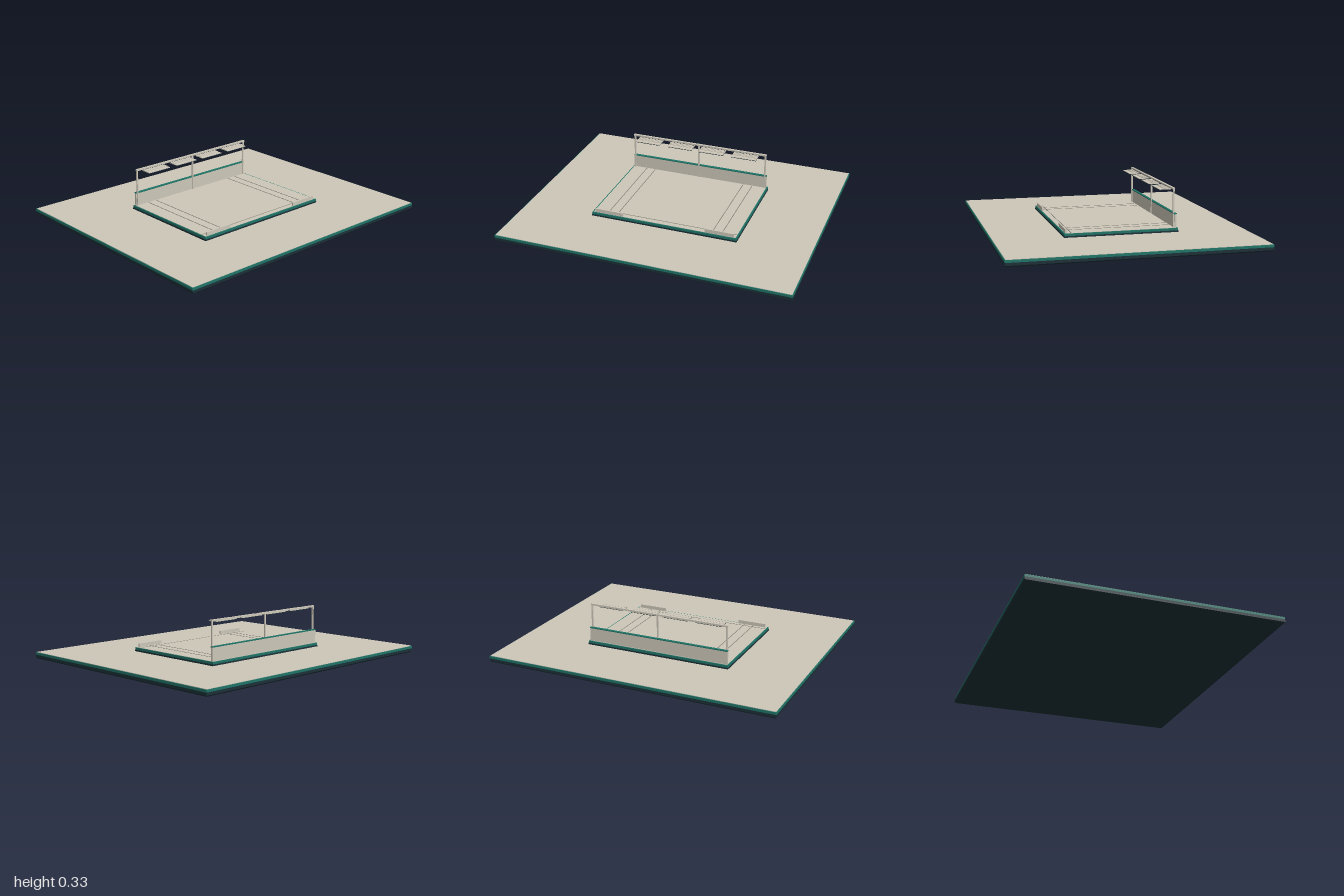
import * as THREE from 'three';

const mat = (name, color) => {
  const m = new THREE.MeshStandardMaterial({ color });
  m.name = name;
  return m;
};

export function createModel() {
  const root = new THREE.Group();
  root.name = 'openAirStage';
  const cream = mat('warm cream', 0xcdc7b9);
  const teal = mat('deep teal', 0x1f7467);
  const dark = mat('dark navy', 0x1b2f36);
  const grey = mat('seam grey', 0x8b867b);

  // Box given by its low and high limits on each axis
  const box = (name, m, [x0, x1], [y0, y1], [z0, z1], parent = root) => {
    const mesh = new THREE.Mesh(new THREE.BoxGeometry(x1 - x0, y1 - y0, z1 - z0), m);
    mesh.position.set((x0 + x1) / 2, (y0 + y1) / 2, (z0 + z1) / 2);
    mesh.name = name;
    parent.add(mesh);
    return mesh;
  };

  // Flat slab with chamfered upper and lower rims
  const slab = (name, m, hx, hz, y0, y1, bevel) => {
    const a = hx - bevel, b = hz - bevel;
    const shape = new THREE.Shape([
      new THREE.Vector2(-a, -b), new THREE.Vector2(a, -b),
      new THREE.Vector2(a, b), new THREE.Vector2(-a, b),
    ]);
    const geo = new THREE.ExtrudeGeometry(shape, {
      depth: y1 - y0 - 2 * bevel, bevelEnabled: true,
      bevelSize: bevel, bevelThickness: bevel, bevelSegments: 1,
    });
    geo.rotateX(-Math.PI / 2);
    geo.translate(0, y0 + bevel, 0);
    const mesh = new THREE.Mesh(geo, m);
    mesh.name = name;
    root.add(mesh);
  };

  // Ground plinth: dark body, teal band, cream paving
  slab('plinthBody', dark, 1, 0.83, 0, 0.034, 0.008);
  box('plinthBand', teal, [-1, 1], [0.026, 0.042], [-0.83, 0.83]);
  box('plinthPaving', cream, [-0.995, 0.995], [0.042, 0.045], [-0.825, 0.825]);

  // Raised deck
  box('deckFoot', dark, [-0.51, 0.51], [0.045, 0.055], [-0.378, 0.378]);
  box('deckBody', teal, [-0.508, 0.508], [0.055, 0.07], [-0.376, 0.376]);
  box('deckFloor', cream, [-0.5, 0.5], [0.07, 0.072], [-0.368, 0.368]);

  // Floor seams
  for (const x of [-0.4, -0.335, 0.335, 0.4]) {
    box('floorSeam', grey, [x - 0.0025, x + 0.0025], [0.072, 0.0735], [-0.345, 0.355]);
  }
  box('frontSeam', grey, [-0.5, 0.5], [0.072, 0.0735], [0.328, 0.332]);

  // Low front barriers
  for (const s of [-1, 1]) {
    box('frontBarrier', cream, [s * 0.388 - 0.1, s * 0.388 + 0.1], [0.072, 0.096], [0.357, 0.367]);
  }

  // Back wall with coping
  box('backWall', cream, [-0.5, 0.5], [0.072, 0.16], [-0.365, -0.351]);
  box('wallCoping', teal, [-0.5, 0.5], [0.16, 0.166], [-0.368, -0.349]);

  // Posts and lighting beam
  for (const x of [-0.488, 0, 0.488]) {
    box('post', cream, [x - 0.005, x + 0.005], [0.072, 0.322], [-0.354, -0.344]);
  }
  box('lightingBeam', cream, [-0.495, 0.495], [0.321, 0.332], [-0.356, -0.341]);

  // Four louvred canopies hung from the beam
  for (const x of [-0.357, -0.119, 0.114, 0.352]) {
    const canopy = new THREE.Group();
    canopy.name = 'canopy';
    root.add(canopy);
    const span = [x - 0.089, x + 0.089];
    box('canopyUnderside', dark, span, [0.311, 0.314], [-0.342, -0.268], canopy);
    box('canopyPanel', cream, span, [0.314, 0.318], [-0.344, -0.268], canopy);
    for (let i = 0; i < 4; i++) {
      const z = -0.334 + i * 0.011;
      box('canopySlat', cream, span, [0.318, 0.321], [z - 0.004, z + 0.004], canopy);
    }
  }
  return root;
}
